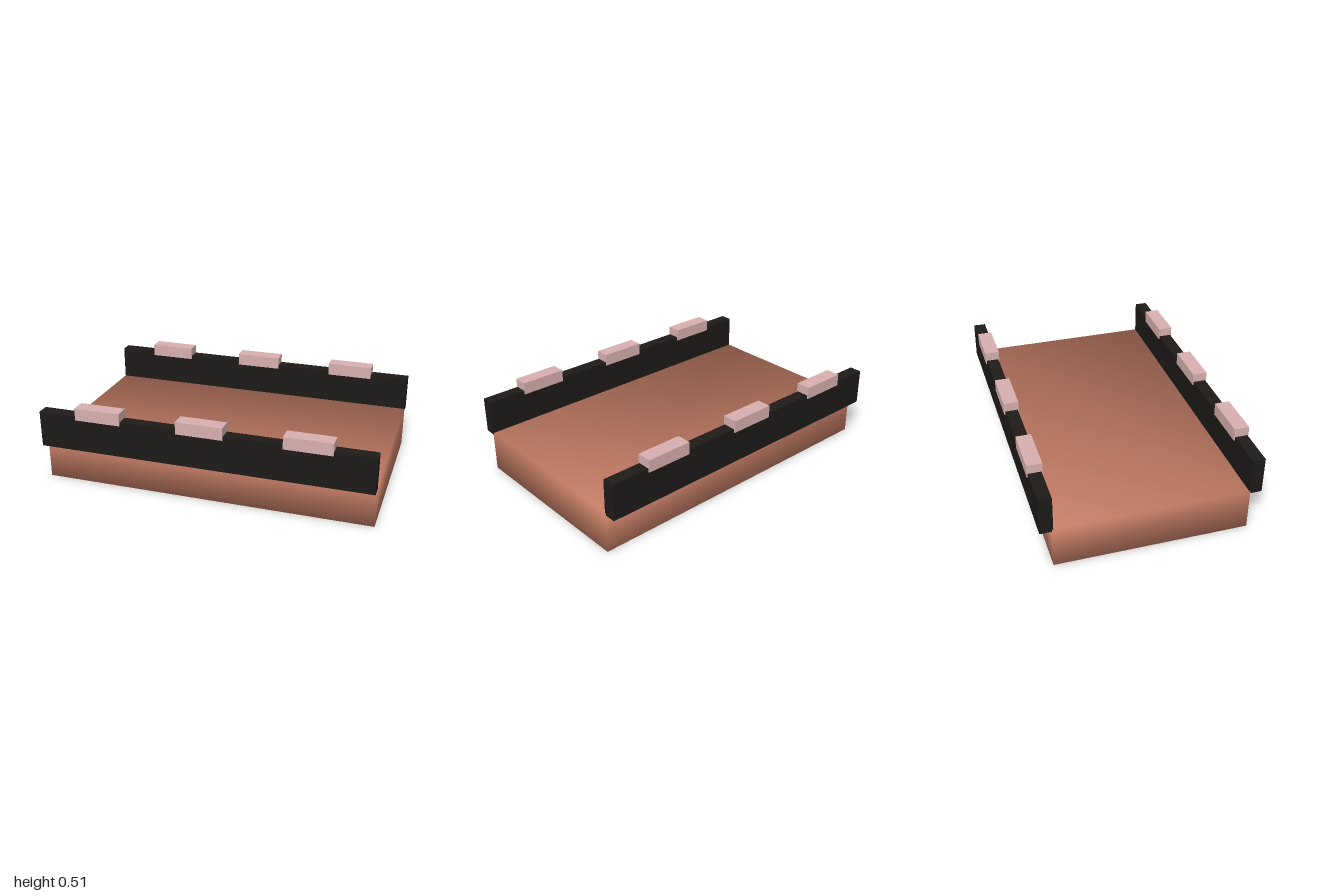
import * as THREE from 'three';
import { mergeVertices } from 'three/addons/utils/BufferGeometryUtils.js';

// Box mesh placed by its centre
function box(name, size, pos, material) {
  const mesh = new THREE.Mesh(new THREE.BoxGeometry(...size), material);
  mesh.name = name;
  mesh.position.set(...pos);
  return mesh;
}

// Box with eight shared corners, each normal pointing diagonally outward
function softBoxGeometry(w, h, d) {
  let geo = new THREE.BoxGeometry(w, h, d);
  geo.deleteAttribute('normal');
  geo.deleteAttribute('uv');
  geo = mergeVertices(geo);
  const normals = Array.from(geo.attributes.position.array, v => Math.sign(v) / Math.sqrt(3));
  geo.setAttribute('normal', new THREE.Float32BufferAttribute(normals, 3));
  return geo;
}

export function createModel() {
  const model = new THREE.Group();
  model.name = 'deckWithRails';
  const deckMat = new THREE.MeshStandardMaterial({ color: 0xc67e66 });
  const railMat = new THREE.MeshStandardMaterial({ color: 0x1e1b19 });
  const padMat = new THREE.MeshStandardMaterial({ color: 0xd8b0b0 });

  // Deck slab, smoothly shaded across its corners
  const deck = new THREE.Mesh(softBoxGeometry(2, 0.25, 1.126), deckMat);
  deck.name = 'deck';
  deck.position.y = 0.125;
  model.add(deck);

  // A dark rail along each long side, with three pads capping its top edge
  for (const [label, side] of [['front', 1], ['back', -1]]) {
    const rail = new THREE.Group();
    rail.name = label + 'Rail';
    rail.position.z = side * 0.594;
    rail.add(box(label + 'RailBeam', [2, 0.22, 0.075], [0, 0.346, 0], railMat));
    for (const i of [-1, 0, 1]) {
      rail.add(box(label + 'Pad' + (i + 2), [0.28, 0.075, 0.088], [i * 0.624, 0.472, 0], padMat));
    }
    model.add(rail);
  }
  return model;
}
